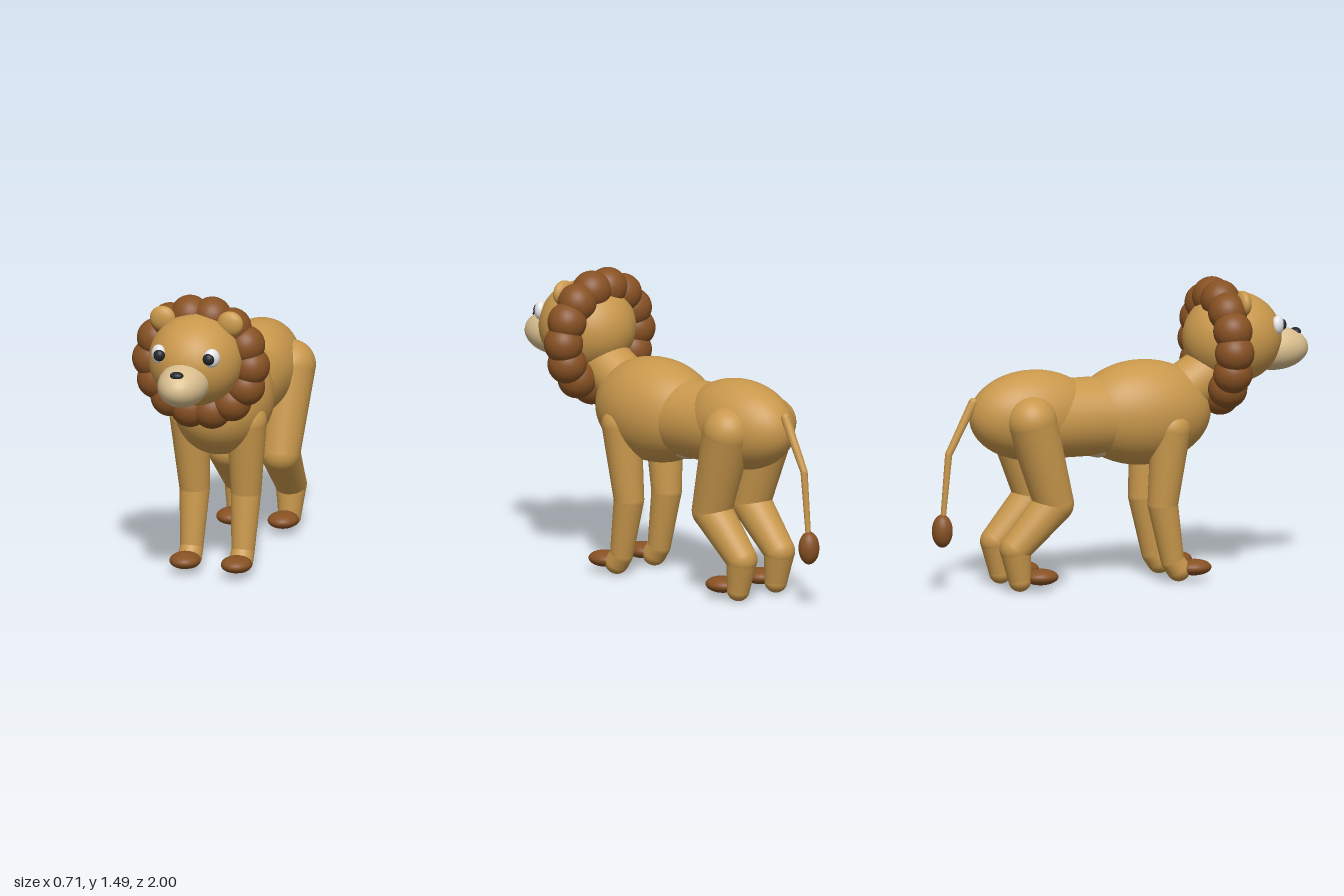
import * as THREE from 'three';

const material = (name, color) => {
  const m = new THREE.MeshStandardMaterial({ color });
  m.name = name;
  return m;
};

export function createModel() {
  const fur = material('golden fur', 0xc9984c);
  const brown = material('brown mane', 0x875123);
  const cream = material('cream muzzle', 0xdabf8f);
  const white = material('eye white', 0xe6e6e8);
  const dark = material('dark nose and pupils', 0x23262b);

  const model = new THREE.Group();
  model.name = 'lion';

  // Ellipsoid from a centre and three radii
  const blob = (name, mat, pos, radii, parent = model) => {
    const mesh = new THREE.Mesh(new THREE.SphereGeometry(1, 40, 28), mat);
    mesh.name = name;
    mesh.position.set(...pos);
    mesh.scale.set(...radii);
    parent.add(mesh);
    return mesh;
  };

  // Tapered cylinder between two points
  const limb = (name, mat, a, b, ra, rb, parent = model) => {
    const start = new THREE.Vector3(...a), end = new THREE.Vector3(...b);
    const dir = end.clone().sub(start);
    const mesh = new THREE.Mesh(new THREE.CylinderGeometry(rb, ra, dir.length(), 32), mat);
    mesh.name = name;
    mesh.position.copy(start).add(end).multiplyScalar(0.5);
    mesh.quaternion.setFromUnitVectors(new THREE.Vector3(0, 1, 0), dir.normalize());
    parent.add(mesh);
    return mesh;
  };

  // Leg: joints as [x, y, z, radius], joined by tapered limbs, with a brown paw
  const leg = (name, side, joints, pawZ) => {
    const group = new THREE.Group();
    group.name = name;
    joints.forEach(([x, y, z, r], i) => {
      blob('joint', fur, [side * x, y, z], [r, r, r], group);
      if (i === 0) return;
      const [px, py, pz, pr] = joints[i - 1];
      limb('legSegment', fur, [side * px, py, pz], [side * x, y, z], pr, r, group);
    });
    blob('paw', brown, [side * 0.133, 0.072, pawZ], [0.077, 0.04, 0.088], group);
    model.add(group);
  };

  // Body
  blob('chest', fur, [0, 0.848, 0.115], [0.24, 0.263, 0.36]);
  limb('torso', fur, [0, 0.843, 0.1], [0, 0.843, -0.45], 0.197, 0.197);
  blob('haunches', fur, [0, 0.868, -0.467], [0.205, 0.226, 0.328]);
  blob('belly', cream, [0, 0.69, -0.12], [0.1, 0.055, 0.08]);
  limb('neck', fur, [0, 0.85, 0.2], [0, 1.13, 0.62], 0.14, 0.125);

  // Legs
  for (const [label, side] of [['left', 1], ['right', -1]]) {
    leg(label + 'FrontLeg', side, [
      [0.148, 0.78, 0.215, 0.1], [0.133, 0.4, 0.178, 0.076],
      [0.133, 0.11, 0.23, 0.058], [0.133, 0.066, 0.262, 0.06],
    ], 0.345);
    leg(label + 'HindLeg', side, [
      [0.153, 0.862, -0.53, 0.127], [0.138, 0.44, -0.405, 0.1],
      [0.133, 0.22, -0.61, 0.078], [0.133, 0.062, -0.585, 0.057],
    ], -0.472);
  }

  // Head
  blob('head', fur, [0, 1.197, 0.6], [0.235, 0.23, 0.25]);
  blob('muzzle', cream, [0, 1.127, 0.82], [0.125, 0.109, 0.18]);
  blob('nose', dark, [0, 1.204, 0.938], [0.035, 0.02, 0.027]);
  for (const [label, side] of [['left', 1], ['right', -1]]) {
    blob(label + 'Ear', fur, [side * 0.175, 1.392, 0.593], [0.066, 0.063, 0.035]);
    const eye = blob(label + 'Eye', white, [side * 0.137, 1.265, 0.79], [0.042, 0.048, 0.032]);
    eye.rotation.y = side * 0.6;
    blob(label + 'Pupil', dark, [side * 0.128, 1.265, 0.813], [0.03, 0.03, 0.025]);
  }

  // Mane: a ring of round tufts
  const mane = new THREE.Group();
  mane.name = 'mane';
  const tufts = 14;
  for (let i = 0; i < tufts; i++) {
    const angle = (i / tufts) * Math.PI * 2;
    const pos = [0.256 * Math.cos(angle), 1.158 + 0.247 * Math.sin(angle), 0.514];
    blob('tuft', brown, pos, [0.098, 0.098, 0.098], mane);
  }
  model.add(mane);

  // Tail with a tuft
  limb('tailBase', fur, [0, 0.95, -0.782], [0, 0.695, -0.913], 0.023, 0.018);
  blob('tailJoint', fur, [0, 0.695, -0.913], [0.018, 0.018, 0.018]);
  blob('tailTop', fur, [0, 0.95, -0.782], [0.023, 0.023, 0.023]);
  limb('tailEnd', fur, [0, 0.695, -0.913], [0, 0.35, -0.945], 0.018, 0.013);
  blob('tailTuft', brown, [0, 0.312, -0.947], [0.052, 0.083, 0.052]);

  return model;
}
